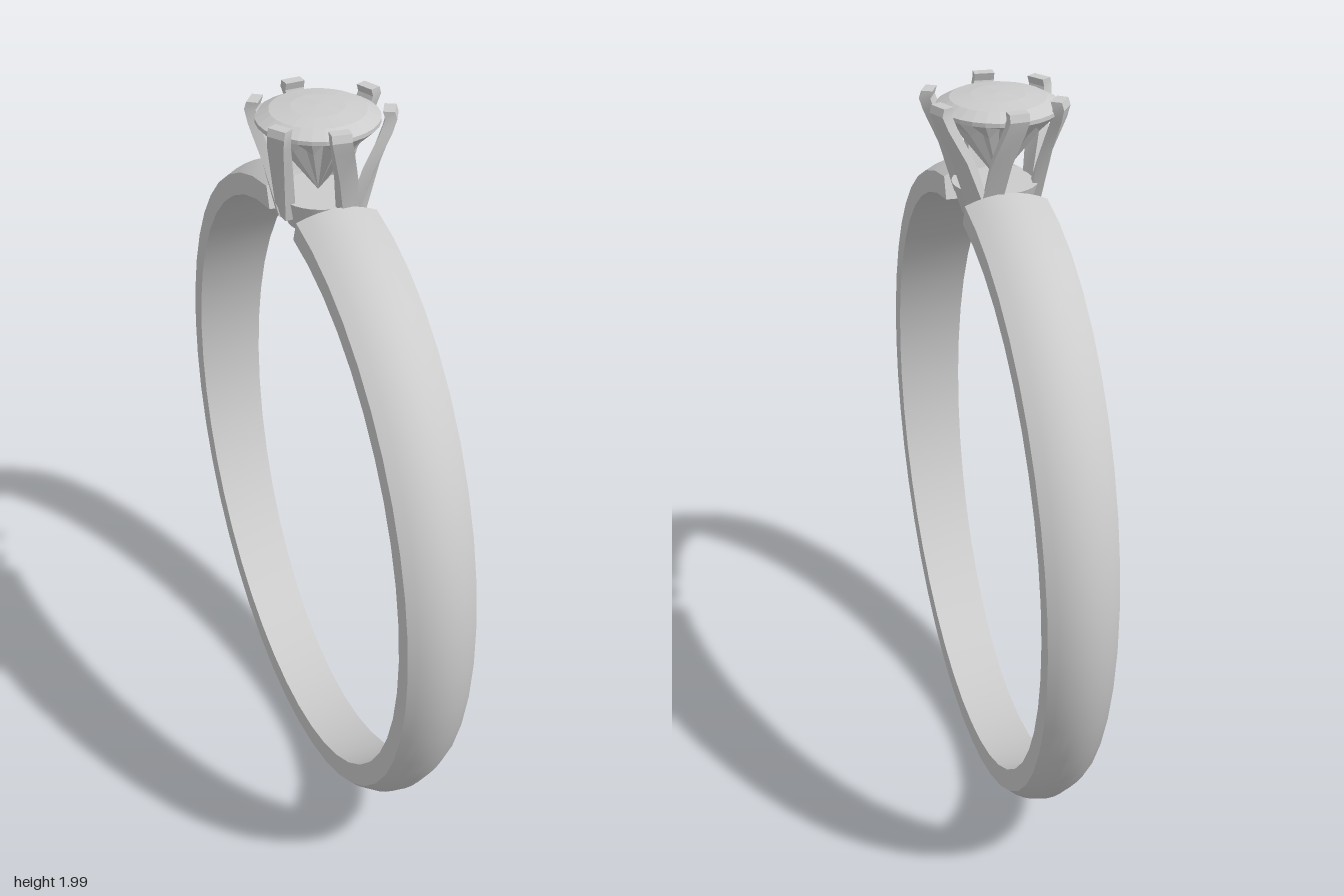
import * as THREE from 'three';
import { toCreasedNormals } from 'three/addons/utils/BufferGeometryUtils.js';

const material = new THREE.MeshStandardMaterial({ color: 0xcccccc });
const facetMaterial = new THREE.MeshStandardMaterial({ color: 0xcccccc, flatShading: true });

// Skin a row of matching closed sections (arrays of Vector3) and cap both ends.
function loft(sections, crease) {
  const n = sections[0].length, last = sections.length - 1;
  const points = sections.flat(), tris = [];
  for (let i = 0; i < last; i++) {
    for (let j = 0; j < n; j++) {
      const a = i * n + j, b = i * n + (j + 1) % n;
      tris.push([a, b, b + n], [a, b + n, a + n]);
    }
  }
  for (let j = 1; j < n - 1; j++) {
    tris.push([0, j + 1, j], [last * n, last * n + j, last * n + j + 1]);
  }
  // Turn the faces outward when the enclosed volume comes out negative.
  let volume = 0;
  const cross = new THREE.Vector3();
  for (const [a, b, c] of tris) volume += cross.crossVectors(points[b], points[c]).dot(points[a]);
  if (volume < 0) tris.forEach((t) => t.reverse());
  const geometry = new THREE.BufferGeometry().setFromPoints(points);
  geometry.setIndex(tris.flat());
  return toCreasedNormals(geometry, crease);
}

// Open band: flat inside, domed outside, wider toward the top.
function bandGeometry() {
  const centreY = 0.89, inner = 0.797, edge = 0.856, crown = 0.887, steps = 44, arc = 8;
  const sections = [];
  for (let i = 0; i <= steps; i++) {
    const t = (i / steps) * 2 - 1;
    const place = (side, radius) => {
      const gap = THREE.MathUtils.mapLinear(radius, inner, crown, 0.115, 0.142);
      const angle = t * (Math.PI - gap);
      const width = 0.09 - 0.019 * Math.cos(angle);
      return new THREE.Vector3(side * width, centreY - radius * Math.cos(angle), radius * Math.sin(angle));
    };
    const section = [place(1, inner), place(-1, inner)];
    for (let j = 0; j <= arc; j++) {
      const side = (j / arc) * 2 - 1;
      section.push(place(side, edge + (crown - edge) * (1 - side * side)));
    }
    sections.push(section);
  }
  return loft(sections, 0.5);
}

// Flat prong running from a shared foot to a tip spread to one side.
function prongGeometry(footAngle, tipAngle) {
  const at = (angle, r, y) => new THREE.Vector3(r * Math.cos(angle), y, r * Math.sin(angle));
  const stations = [
    [0, 0.1, 1.71], [0.55, 0.133, 1.85], [0.9, 0.168, 1.94], [1, 0.178, 1.975], [1, 0.172, 1.995],
  ];
  const sections = stations.map(([t, r, y]) => {
    const angle = THREE.MathUtils.lerp(footAngle, tipAngle, t);
    const centre = at(angle, r, y);
    const out = at(angle, 0.015, 0), along = at(angle + Math.PI / 2, 0.026, 0);
    return [[1, 1], [1, -1], [-1, -1], [-1, 1]].map(([o, s]) =>
      centre.clone().addScaledVector(out, o).addScaledVector(along, s));
  });
  return loft(sections, 0.5);
}

// Stone with a fluted underside, scalloped rim and shallow domed top.
function stoneGeometry() {
  const profile = [
    [0, 1.762], [0.115, 1.91], [0.16, 1.955], [0.16, 1.966], [0.125, 1.985], [0.07, 1.993], [0, 1.996],
  ].map(([r, y]) => new THREE.Vector2(r, y));
  const geometry = new THREE.LatheGeometry(profile, 28);
  const position = geometry.attributes.position;
  for (let i = 0; i < position.count; i++) {
    const row = i % profile.length, column = Math.floor(i / profile.length);
    if (row === 1 && column % 2) {
      position.setXYZ(i, position.getX(i) * 0.93, position.getY(i) + 0.025, position.getZ(i) * 0.93);
    }
  }
  geometry.computeVertexNormals();
  return geometry;
}

export function createModel() {
  const ring = new THREE.Group();
  ring.name = 'ring';
  const add = (name, geometry, parent = ring, mat = material) => {
    const mesh = new THREE.Mesh(geometry, mat);
    mesh.name = name;
    parent.add(mesh);
    return mesh;
  };

  add('band', bandGeometry());

  // Setting: tapered cup with three V-shaped pairs of prongs.
  const setting = new THREE.Group();
  setting.name = 'setting';
  ring.add(setting);
  add('cup', new THREE.CylinderGeometry(0.113, 0.088, 0.08, 32).translate(0, 1.72, 0), setting);
  for (let i = 0; i < 3; i++) {
    const foot = Math.PI / 3 + (i * Math.PI * 2) / 3;
    for (const side of [-1, 1]) {
      add('prong', prongGeometry(foot + side * 0.13, foot + side * 0.6), setting);
    }
  }

  add('stone', stoneGeometry(), ring, facetMaterial).position.set(-0.006, 0, -0.006);
  return ring;
}
